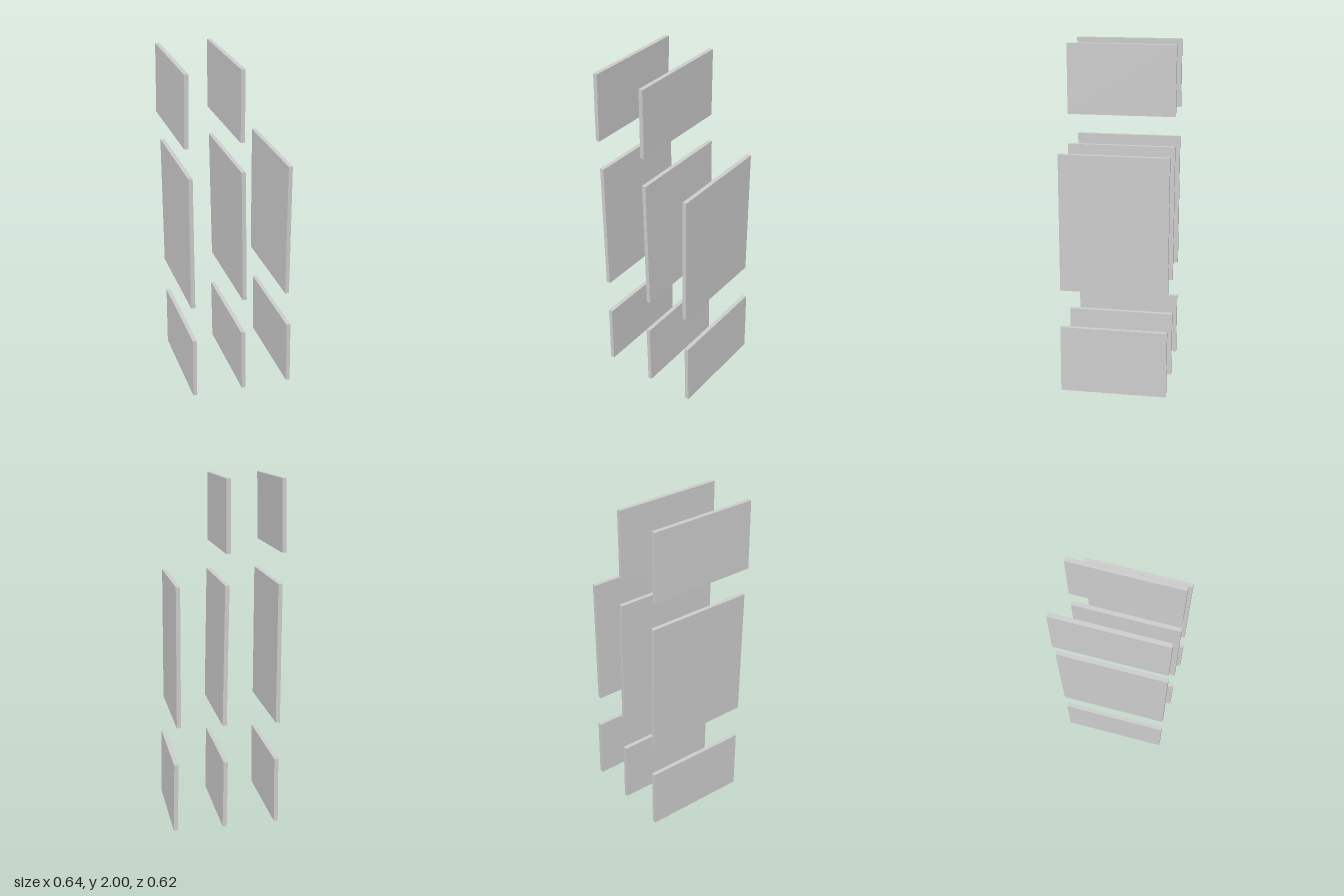
import * as THREE from 'three';

const THICKNESS = 0.024;
const DEPTH = 0.622;

// Each panel: name, x at the top, x at the bottom, top height, bottom height
const PANELS = [
  ['upperRightPanel', -0.302, -0.309, 2.0, 1.597],
  ['upperCentrePanel', 0.001, 0.001, 2.0, 1.597],
  ['middleRightPanel', -0.290, -0.287, 1.424, 0.622],
  ['middleCentrePanel', 0.008, 0.022, 1.424, 0.622],
  ['middleLeftPanel', 0.28, 0.283, 1.424, 0.622],
  ['lowerRightPanel', -0.282, -0.284, 0.4, 0.015],
  ['lowerCentrePanel', 0.015, 0.021, 0.4, 0.004],
  ['lowerLeftPanel', 0.3, 0.307, 0.4, 0.0],
];

// Upright slab that leans slightly sideways
function leaningPanel(name, topX, bottomX, top, bottom, material) {
  const h = THICKNESS / 2;
  const outline = new THREE.Shape([
    new THREE.Vector2(bottomX - h, bottom),
    new THREE.Vector2(bottomX + h, bottom),
    new THREE.Vector2(topX + h, top),
    new THREE.Vector2(topX - h, top),
  ]);
  const geometry = new THREE.ExtrudeGeometry(outline, { depth: DEPTH, bevelEnabled: false });
  geometry.translate(0, 0, -DEPTH / 2);
  const mesh = new THREE.Mesh(geometry, material);
  mesh.name = name;
  return mesh;
}

export function createModel() {
  const group = new THREE.Group();
  group.name = 'hangingPanels';
  const grey = new THREE.MeshStandardMaterial({ color: 0xcccccc });
  grey.name = 'light grey';
  for (const panel of PANELS) group.add(leaningPanel(...panel, grey));
  return group;
}
